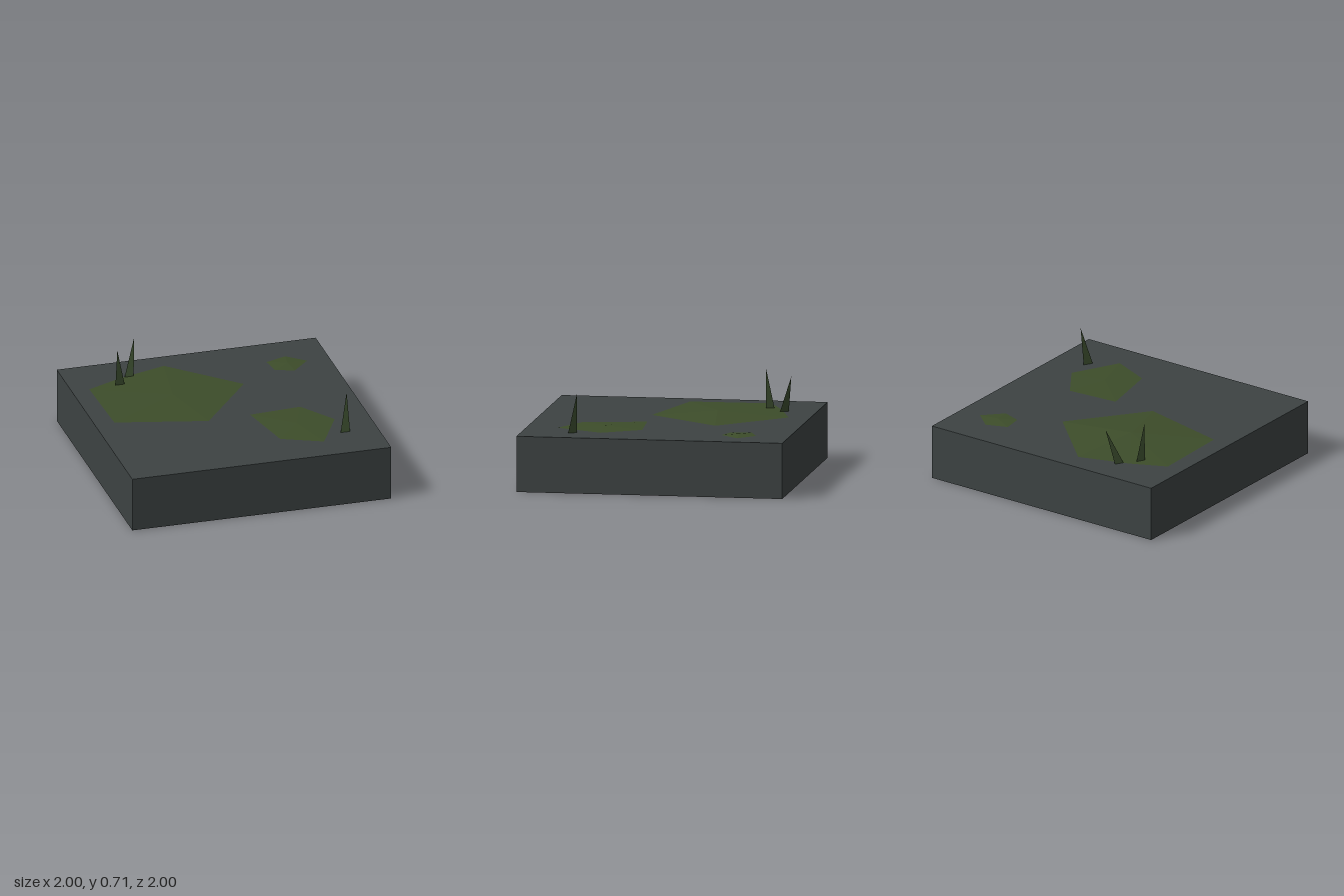
import * as THREE from 'three';

const TOP = 0.418;

// Faceted pyramid over an outline of [x, z] points, given clockwise as seen from above
function pyramid(name, outline, [ax, ay, az], baseY, material) {
  const pos = [];
  outline.forEach(([x, z], i) => {
    const [nx, nz] = outline[(i + 1) % outline.length];
    pos.push(nx, baseY, nz, x, baseY, z, ax, ay, az);
  });
  const geo = new THREE.BufferGeometry();
  geo.setAttribute('position', new THREE.Float32BufferAttribute(pos, 3));
  geo.computeVertexNormals();
  const mesh = new THREE.Mesh(geo, material);
  mesh.name = name;
  return mesh;
}

export function createModel() {
  const group = new THREE.Group();
  group.name = 'groundTile';
  const stone = new THREE.MeshStandardMaterial({ color: 0x3d4343, flatShading: true });
  stone.name = 'dark stone';
  const moss = new THREE.MeshStandardMaterial({ color: 0x3d4d2a, flatShading: true });
  moss.name = 'moss green';
  const grass = new THREE.MeshStandardMaterial({ color: 0x3c4e2f, flatShading: true });
  grass.name = 'grass green';

  // Square slab
  const slab = new THREE.Mesh(new THREE.BoxGeometry(2, TOP, 2), stone);
  slab.name = 'slab';
  slab.position.y = TOP / 2;
  group.add(slab);

  // Low moss mounds
  const mounds = [
    ['largeMossPatch', [[-0.865, -0.6], [-0.6, -0.72], [-0.22, -0.84], [0.26, -0.37], [-0.17, 0.18], [-0.85, 0.01]], [-0.31, 0.446, -0.29]],
    ['mediumMossPatch', [[0.155, 0.16], [0.55, 0.13], [0.735, 0.41], [0.55, 0.765], [0.25, 0.63]], [0.44, 0.43, 0.42]],
    ['smallMossPatch', [[0.53, -0.69], [0.69, -0.75], [0.825, -0.63], [0.69, -0.49], [0.55, -0.54]], [0.67, 0.43, -0.62]],
  ];
  for (const [name, outline, apex] of mounds) group.add(pyramid(name, outline, apex, TOP + 0.001, moss));

  // Leaning three-sided grass blades
  const blades = [
    ['rightBlade', [[-0.626, -0.665], [-0.59, -0.605], [-0.662, -0.605]], [-0.65, 0.71, -0.597]],
    ['backBlade', [[-0.52, -0.79], [-0.485, -0.73], [-0.555, -0.73]], [-0.455, 0.69, -0.82]],
    ['leftBlade', [[0.75, 0.585], [0.785, 0.647], [0.712, 0.647]], [0.777, 0.71, 0.583]],
  ];
  for (const [name, outline, tip] of blades) group.add(pyramid(name, outline, tip, TOP, grass));

  return group;
}
